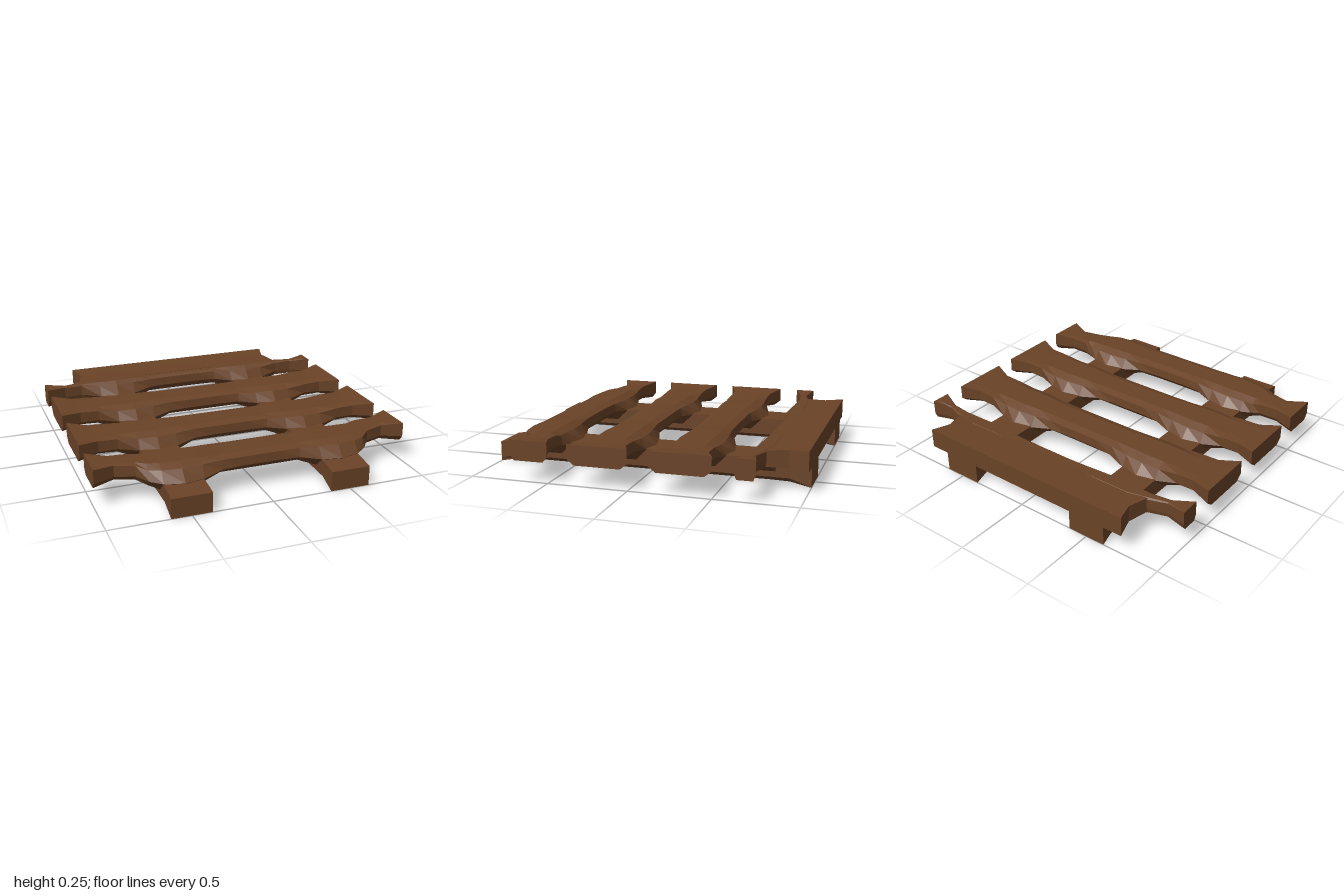
import * as THREE from 'three';

// Skin a list of rings (same point count, counter-clockwise seen from the last ring) with flat facets.
function loft(rings) {
  const pos = [];
  const tri = (...pts) => pts.forEach((p) => pos.push(...p));
  const n = rings[0].length;
  const middle = (ring) => [0, 1, 2].map((k) => ring.reduce((s, p) => s + p[k], 0) / n);
  const first = rings[0], last = rings[rings.length - 1];
  for (let j = 0; j < n; j++) {
    const k = (j + 1) % n;
    for (let i = 0; i < rings.length - 1; i++) {
      const a = rings[i][j], b = rings[i][k], c = rings[i + 1][k], d = rings[i + 1][j];
      tri(a, b, c);
      tri(a, c, d);
    }
    tri(middle(first), first[k], first[j]);
    tri(middle(last), last[j], last[k]);
  }
  const g = new THREE.BufferGeometry();
  g.setAttribute('position', new THREE.Float32BufferAttribute(pos, 3));
  g.computeVertexNormals();
  return g;
}

// Half-plank stations from the middle outward:
// x, back and front shoulder z, back and front skirt z, top, shoulder, skirt and bottom height
function plankGeometry(half) {
  const stations = [...half.slice().reverse().map((s) => [-s[0], ...s.slice(1)]), ...half];
  return loft(stations.map(([x, zb, zf, sb, sf, top, sh, sk, bot]) => {
    const inset = (zf - zb) * 0.2;
    return [
      [x, top, zb + inset], [x, top, zf - inset], [x, sh, zf], [x, sk, sf],
      [x, bot, zf - inset * 0.6], [x, bot, zb + inset * 0.6], [x, sk, sb], [x, sh, zb],
    ];
  }));
}

// Heights shared by all planks at each station: top, shoulder, skirt, bottom
const heights = {
  mid: [0.235, 0.22, 0.165, 0.13],
  foot: [0.24, 0.215, 0.15, 0.08],
  neck: [0.238, 0.23, 0.165, 0.135],
  waist: [0.24, 0.235, 0.165, 0.14],
  end: [0.25, 0.25, 0.16, 0.125],
};

function middlePlank(c) {
  const row = (x, h, s, key) => [x, c - h, c + h, c - s, c + s, ...heights[key]];
  return plankGeometry([
    row(0.125, 0.12, 0.125, 'mid'),
    row(0.25, 0.12, 0.135, 'mid'),
    row(0.375, 0.133, 0.175, 'foot'),
    row(0.5, 0.145, 0.205, 'foot'),
    row(0.62, 0.14, 0.175, 'foot'),
    row(0.75, 0.135, 0.135, 'neck'),
    row(0.87, 0.135, 0.135, 'waist'),
    row(1, 0.1875, 0.1875, 'end'),
  ]);
}

function frontPlank() {
  return plankGeometry([
    [0.125, 0.565, 0.805, 0.56, 0.81, ...heights.mid],
    [0.25, 0.56, 0.805, 0.55, 0.82, ...heights.mid],
    [0.375, 0.55, 0.815, 0.51, 0.865, ...heights.foot],
    [0.5, 0.54, 0.825, 0.48, 0.89, ...heights.foot],
    [0.62, 0.545, 0.81, 0.51, 0.86, ...heights.foot],
    [0.69, 0.55, 0.78, 0.535, 0.81, 0.238, 0.215, 0.155, 0.11],
    [0.75, 0.55, 0.73, 0.55, 0.735, ...heights.neck],
    [0.87, 0.55, 0.695, 0.55, 0.695, ...heights.waist],
    [1, 0.5, 0.745, 0.5, 0.745, ...heights.end],
  ]);
}

function backPlank() {
  return plankGeometry([
    [0.125, -0.8, -0.695, -0.8, -0.69, ...heights.mid],
    [0.25, -0.8, -0.69, -0.8, -0.68, ...heights.mid],
    [0.375, -0.8, -0.68, -0.8, -0.635, ...heights.foot],
    [0.5, -0.8, -0.67, -0.8, -0.61, ...heights.foot],
    [0.62, -0.8, -0.675, -0.8, -0.64, ...heights.foot],
    [0.75, -0.755, -0.69, -0.755, -0.69, ...heights.neck],
    [0.87, -0.72, -0.68, -0.72, -0.68, ...heights.waist],
    [1, -0.75, -0.625, -0.75, -0.625, ...heights.end],
  ]);
}

// Wide board behind the last plank, with pinched ends
function backBoard() {
  const rows = [[-1, 0.75, 0.125, 0.25], [-0.88, 0.715, 0.135, 0.243], [-0.75, 0.75, 0.14, 0.237]];
  return loft(rows.map(([z, w, lo, hi]) => [[w, lo, z], [w, hi, z], [-w, hi, z], [-w, lo, z]]));
}

// Runner: z, half width, underside half width, bottom, chamfer and top height
function runner() {
  const rows = [
    [-1, 0.125, 0.125, 0, 0.02, 0.125],
    [-0.87, 0.122, 0.1, 0.02, 0.045, 0.145],
    [-0.75, 0.122, 0.1, 0.023, 0.045, 0.155],
    [0.75, 0.122, 0.1, 0.023, 0.045, 0.155],
    [0.87, 0.122, 0.1, 0.02, 0.045, 0.145],
    [1, 0.125, 0.125, 0, 0.02, 0.125],
  ];
  return loft(rows.map(([z, w, wb, bot, mid, top]) => [
    [w, mid, z], [w, top, z], [-w, top, z], [-w, mid, z], [-wb, bot, z], [wb, bot, z],
  ]));
}

export function createModel() {
  const group = new THREE.Group();
  group.name = 'slattedPlatform';
  const wood = new THREE.MeshStandardMaterial({ color: 0x6a4327 });
  wood.name = 'brownWood';
  const add = (name, geometry, x = 0) => {
    const mesh = new THREE.Mesh(geometry, wood);
    mesh.name = name;
    mesh.position.x = x;
    group.add(mesh);
  };

  add('leftRunner', runner(), 0.5);
  add('rightRunner', runner(), -0.5);
  add('frontPlank', frontPlank());
  add('middleFrontPlank', middlePlank(0.1875));
  add('middleBackPlank', middlePlank(-0.3125));
  add('backPlank', backPlank());
  add('backBoard', backBoard());
  return group;
}
